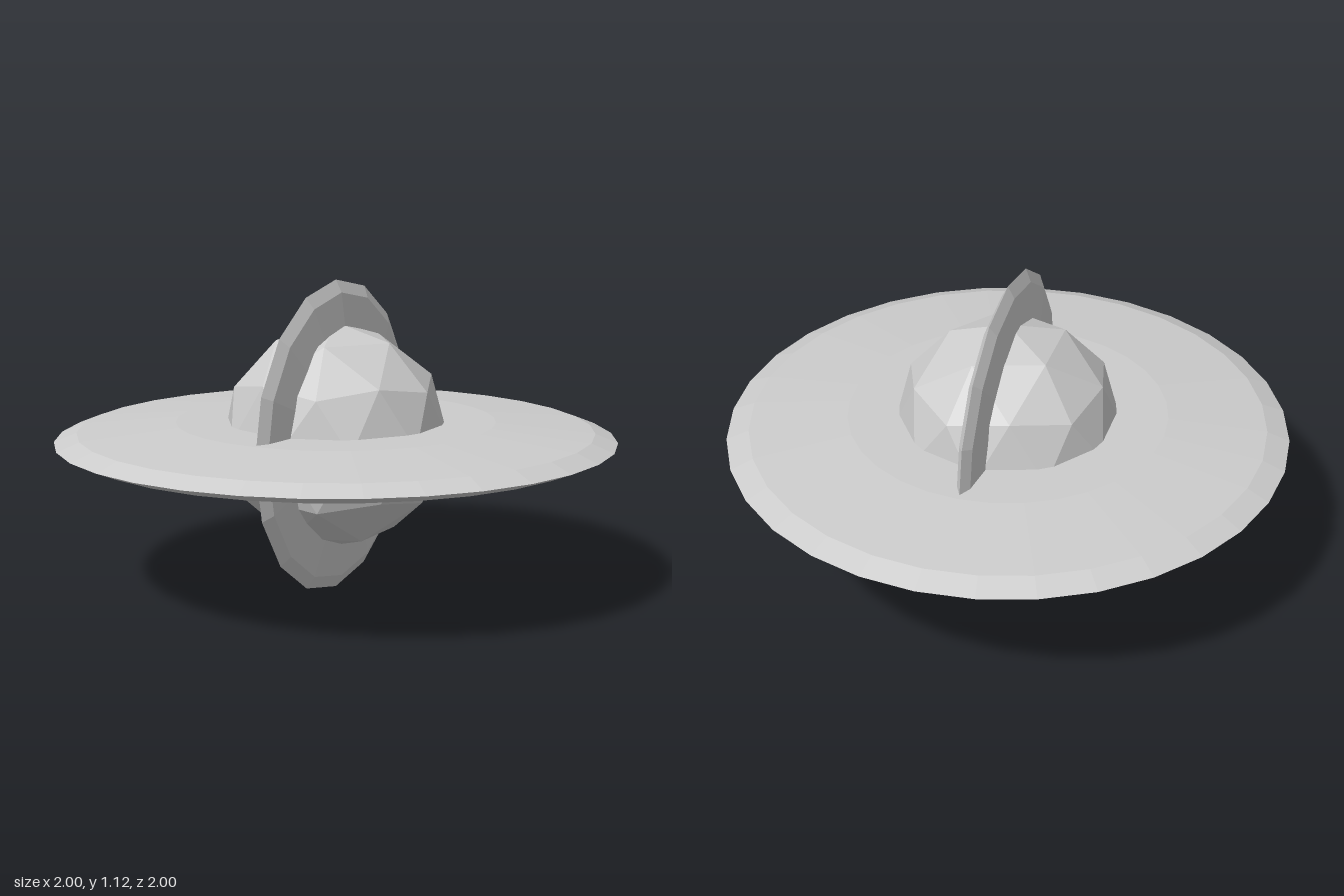
import * as THREE from 'three';

// Thin faceted disc: flat centre, gentle slope, bevelled sharp rim
function lensGeometry(radius, halfThickness, segments) {
  const half = [[0, 1], [0.57, 1], [0.92, 0.5]];
  const point = ([r, h], side) => new THREE.Vector2(r * radius, side * h * halfThickness);
  const profile = [
    ...half.map((p) => point(p, -1)),
    new THREE.Vector2(radius, 0),
    ...half.slice().reverse().map((p) => point(p, 1)),
  ];
  return new THREE.LatheGeometry(profile, segments);
}

export function createModel() {
  const model = new THREE.Group();
  model.name = 'ringedPlanet';

  const grey = new THREE.MeshStandardMaterial({ color: 0xcccccc, flatShading: true });
  grey.name = 'lightGrey';

  const add = (name, geometry, y) => {
    const mesh = new THREE.Mesh(geometry, grey);
    mesh.name = name;
    mesh.position.y = y;
    model.add(mesh);
    return mesh;
  };

  // Faceted globe, turned so that one corner points straight up
  const globe = new THREE.IcosahedronGeometry(0.405, 1);
  globe.rotateZ(-Math.atan(2 / (1 + Math.sqrt(5))));
  add('globe', globe, 0.56);

  // Wide horizontal ring
  add('horizontalRing', lensGeometry(1, 0.064, 32), 0.55);

  // Smaller upright ring, facing sideways
  const upright = lensGeometry(0.558, 0.047, 16);
  upright.rotateZ(Math.PI / 2);
  add('verticalRing', upright, 0.558);

  return model;
}
